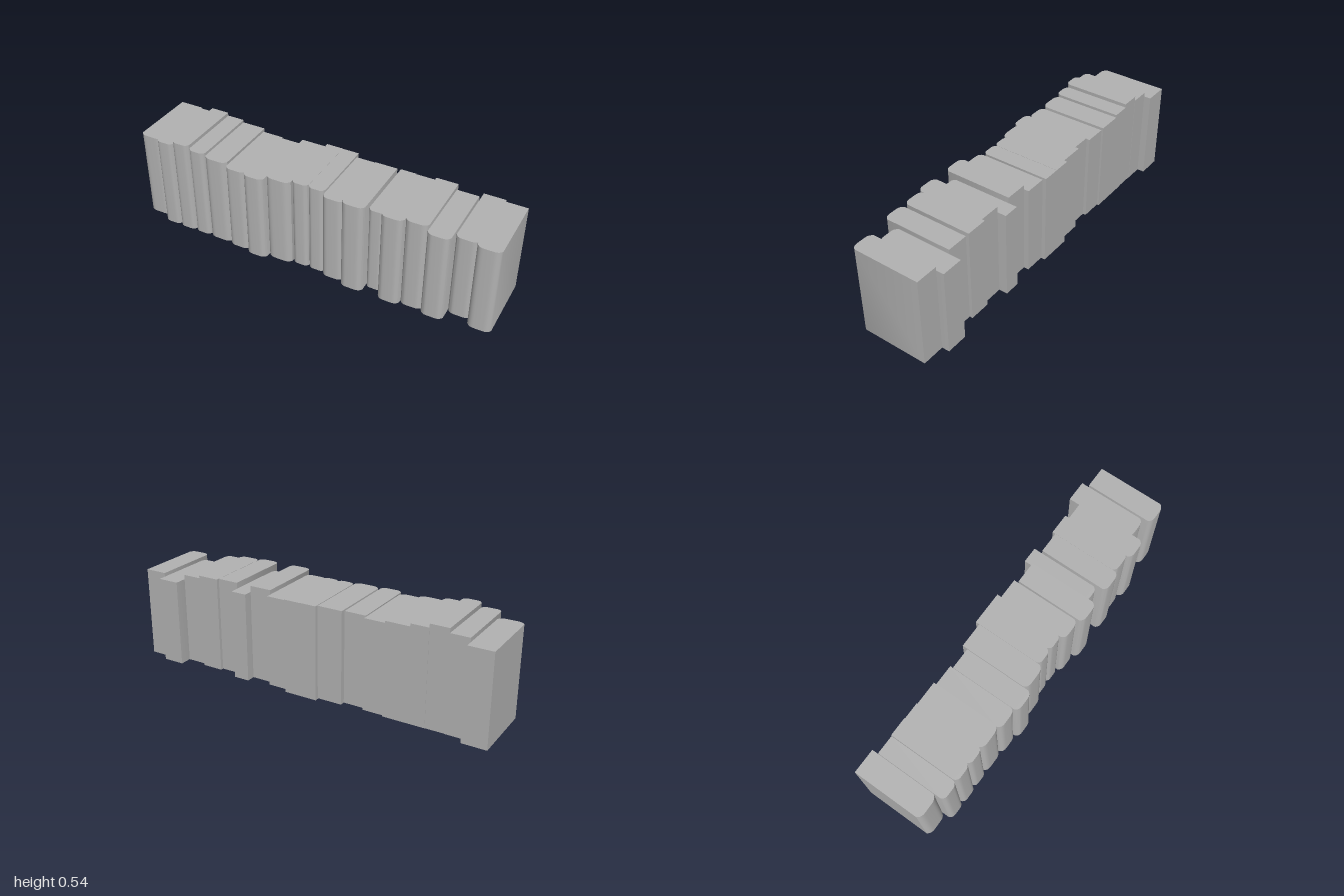
import * as THREE from 'three';
import { toCreasedNormals } from 'three/addons/utils/BufferGeometryUtils.js';

// One row per book: right edge x, top y, back z, spine z
const BOOKS = [
  [-0.87, 0.492, -0.225, 0.153],
  [-0.77, 0.514, -0.187, 0.194],
  [-0.67, 0.537, -0.185, 0.196],
  [-0.575, 0.518, -0.187, 0.194],
  [-0.445, 0.503, -0.187, 0.195],
  [-0.33, 0.488, -0.177, 0.204],
  [-0.215, 0.494, -0.16, 0.222],
  [-0.08, 0.502, -0.187, 0.194],
  [0.01, 0.505, -0.207, 0.173],
  [0.1, 0.504, -0.207, 0.173],
  [0.215, 0.492, -0.187, 0.196],
  [0.335, 0.515, -0.16, 0.222],
  [0.42, 0.483, -0.207, 0.171],
  [0.535, 0.515, -0.16, 0.222],
  [0.65, 0.516, -0.177, 0.203],
  [0.765, 0.494, -0.16, 0.222],
  [0.88, 0.47, -0.225, 0.153],
  [1.0, 0.49, -0.184, 0.197],
];

// Footprint with a flat spine and softly curved spine corners
function bookGeometry(width, height, back, spine) {
  const w = width / 2, depth = 0.021, round = width * 0.3;
  const shape = new THREE.Shape();
  shape.moveTo(w, -back);
  shape.lineTo(-w, -back);
  shape.lineTo(-w, -spine + depth);
  shape.quadraticCurveTo(-w + round * 0.3, -spine, -w + round, -spine);
  shape.lineTo(w - round, -spine);
  shape.quadraticCurveTo(w - round * 0.3, -spine, w, -spine + depth);
  shape.closePath();
  const geometry = new THREE.ExtrudeGeometry(shape, { depth: height, bevelEnabled: false, curveSegments: 5 });
  geometry.rotateX(-Math.PI / 2);
  return toCreasedNormals(geometry, 0.6);
}

export function createModel() {
  const group = new THREE.Group();
  group.name = 'bookRow';
  const cover = new THREE.MeshStandardMaterial({ name: 'grey cover', color: 0xb2b2b2 });

  // Books side by side, each with its own thickness, height and offset
  let left = -1;
  BOOKS.forEach(([right, top, back, spine], i) => {
    const base = i === 8 || i === 9 ? 0 : 0.004;
    const book = new THREE.Mesh(bookGeometry(right - left, top - base, back, spine), cover);
    book.position.set((left + right) / 2, base, 0);
    book.name = `book${i + 1}`;
    group.add(book);
    left = right;
  });
  return group;
}
